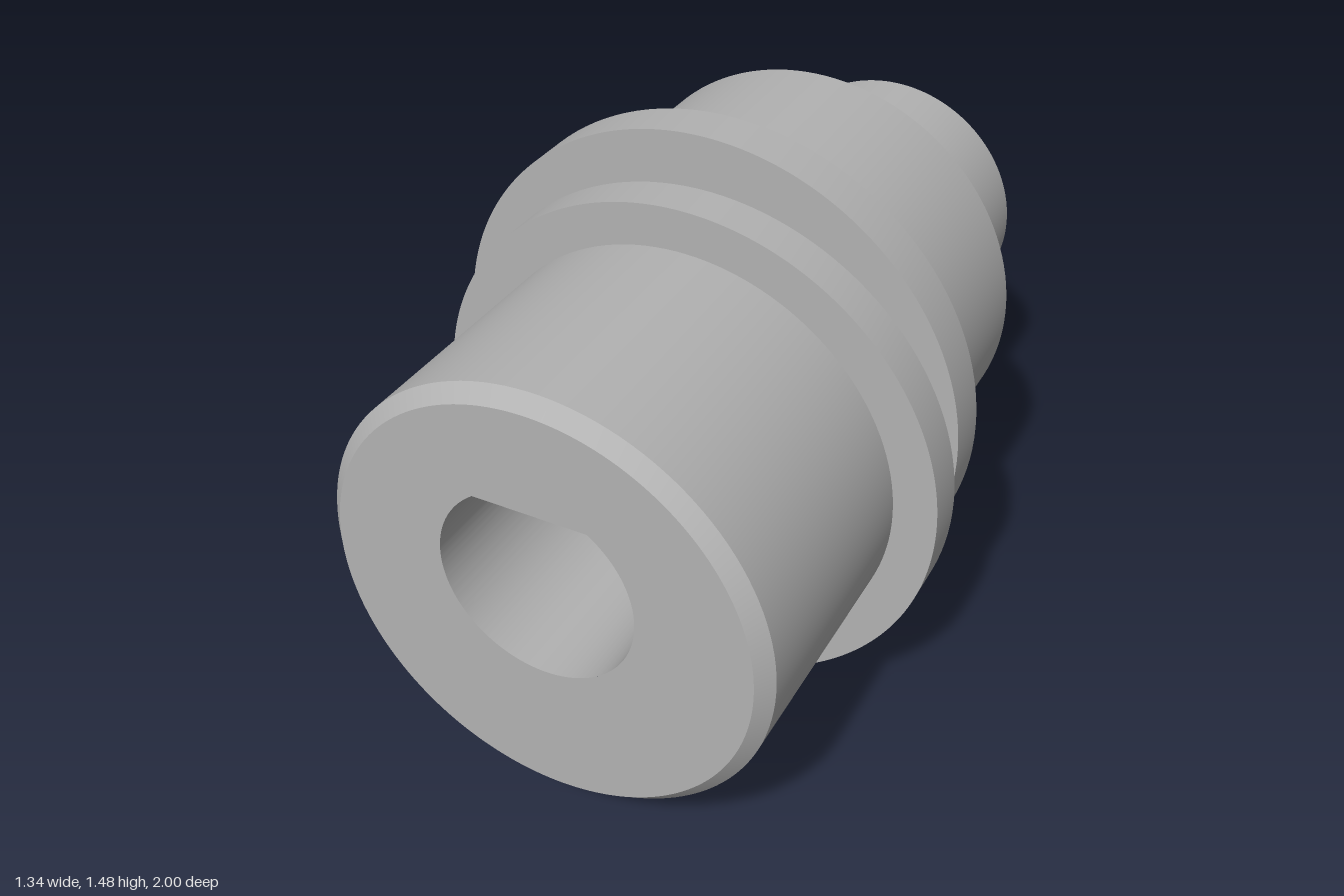
import * as THREE from 'three';
import { mergeGeometries, toCreasedNormals } from 'three/addons/utils/BufferGeometryUtils.js';

const SEG = 128;
const POCKET_END = 0.115; // z of the pocket floor

// D-shaped outline of the pocket
function traceD(path) {
  const r = 0.245, a = Math.asin(0.2 / r);
  path.absarc(0, 0.74, r, Math.PI - a, 2 * Math.PI + a, false);
  path.closePath();
  return path;
}

// Flat end of a section, facing +z or -z, opened where the pocket passes
function endFace(r, cy, z, facing) {
  const shape = new THREE.Shape().absarc(0, cy, r, 0, Math.PI * 2, false);
  if (z > POCKET_END + 0.01) shape.holes.push(traceD(new THREE.Path()));
  const g = new THREE.ShapeGeometry(shape, SEG);
  if (facing < 0) g.rotateY(Math.PI);
  return g.translate(0, 0, z).toNonIndexed();
}

// Turned section along z; profile is [radius, z] from back to front
function section(cy, profile) {
  const side = new THREE.LatheGeometry(profile.map(([r, z]) => new THREE.Vector2(r, z)), SEG);
  side.rotateX(Math.PI / 2).translate(0, cy, 0);
  const [rb, zb] = profile[0];
  const [rf, zf] = profile[profile.length - 1];
  return mergeGeometries([
    toCreasedNormals(side.toNonIndexed(), 0.5),
    endFace(rb, cy, zb, -1),
    endFace(rf, cy, zf, 1),
  ]);
}

export function createModel() {
  const group = new THREE.Group();
  const steel = new THREE.MeshStandardMaterial({ color: 0xb2b2b2 });
  steel.name = 'grey steel';

  const add = (name, geometry) => {
    const mesh = new THREE.Mesh(geometry, steel);
    mesh.name = name;
    group.add(mesh);
  };

  // Front journal and its flange share one axis
  add('frontJournal', section(0.672, [[0.56, 0.345], [0.56, 0.965], [0.525, 1]]));
  add('frontFlange', section(0.67, [[0.67, 0.235], [0.67, 0.345]]));

  // Raised eccentric flange and journal
  add('eccentricFlange', section(0.806, [[0.669, 0.115], [0.669, 0.235]]));
  add('eccentricJournal', section(0.806, [[0.525, -0.44], [0.56, -0.405], [0.56, 0.115]]));

  // Narrow rear shaft
  add('rearShaft', section(0.74, [[0.336, -1], [0.371, -0.965], [0.371, -0.44]]));

  // Blind D-shaped pocket: an extrusion mirrored so its faces point inward
  const pocket = new THREE.ExtrudeGeometry(traceD(new THREE.Shape()), {
    depth: 1 - POCKET_END - 0.001, bevelEnabled: false, curveSegments: 96,
  });
  pocket.translate(0, 0, POCKET_END + 0.001).scale(-1, 1, 1);
  add('drivePocket', toCreasedNormals(pocket, 0.5));

  return group;
}
